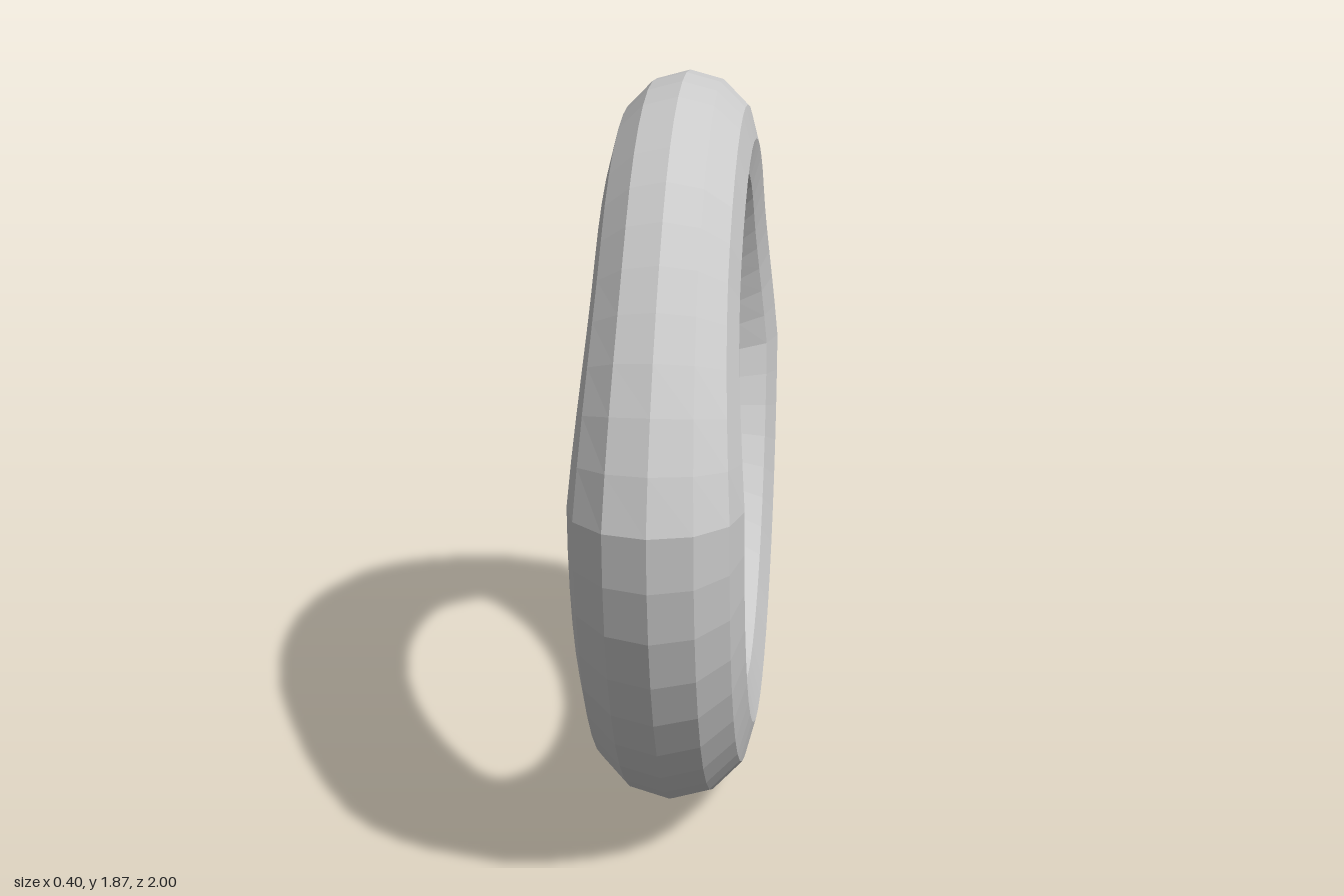
import * as THREE from 'three';

const RINGS = 48, SIDES = 12;

// Ring centre radius and tube radius shrink smoothly over the upper half
function ringAt(angle) {
  const s = Math.sin(angle);
  if (s <= 0) return { major: 0.8, tube: 0.2 };
  const fromSide = Math.min(Math.asin(Math.min(s, 1)), Math.PI / 4);
  const t = Math.sin(2 * fromSide);
  return { major: 0.8 - 0.1 * t, tube: 0.2 - 0.03 * t };
}

export function createModel() {
  const group = new THREE.Group();
  group.name = 'ring';

  // Torus standing on its edge, hole along x
  const geometry = new THREE.TorusGeometry(0.8, 0.2, SIDES, RINGS);
  geometry.rotateY(Math.PI / 2);
  const pos = geometry.attributes.position;
  for (let i = 0; i < pos.count; i++) {
    const x = pos.getX(i), y = pos.getY(i), z = pos.getZ(i);
    const { major, tube } = ringAt(Math.atan2(y, z));
    const radius = Math.hypot(y, z);
    const k = tube / 0.2;
    const scale = (major + (radius - 0.8) * k) / radius;
    pos.setXYZ(i, x * k, 1 + y * scale, z * scale);
  }
  geometry.computeVertexNormals();

  const material = new THREE.MeshStandardMaterial({ color: 0xcccccc, flatShading: true });
  const mesh = new THREE.Mesh(geometry, material);
  mesh.name = 'ringBody';
  group.add(mesh);
  return group;
}
